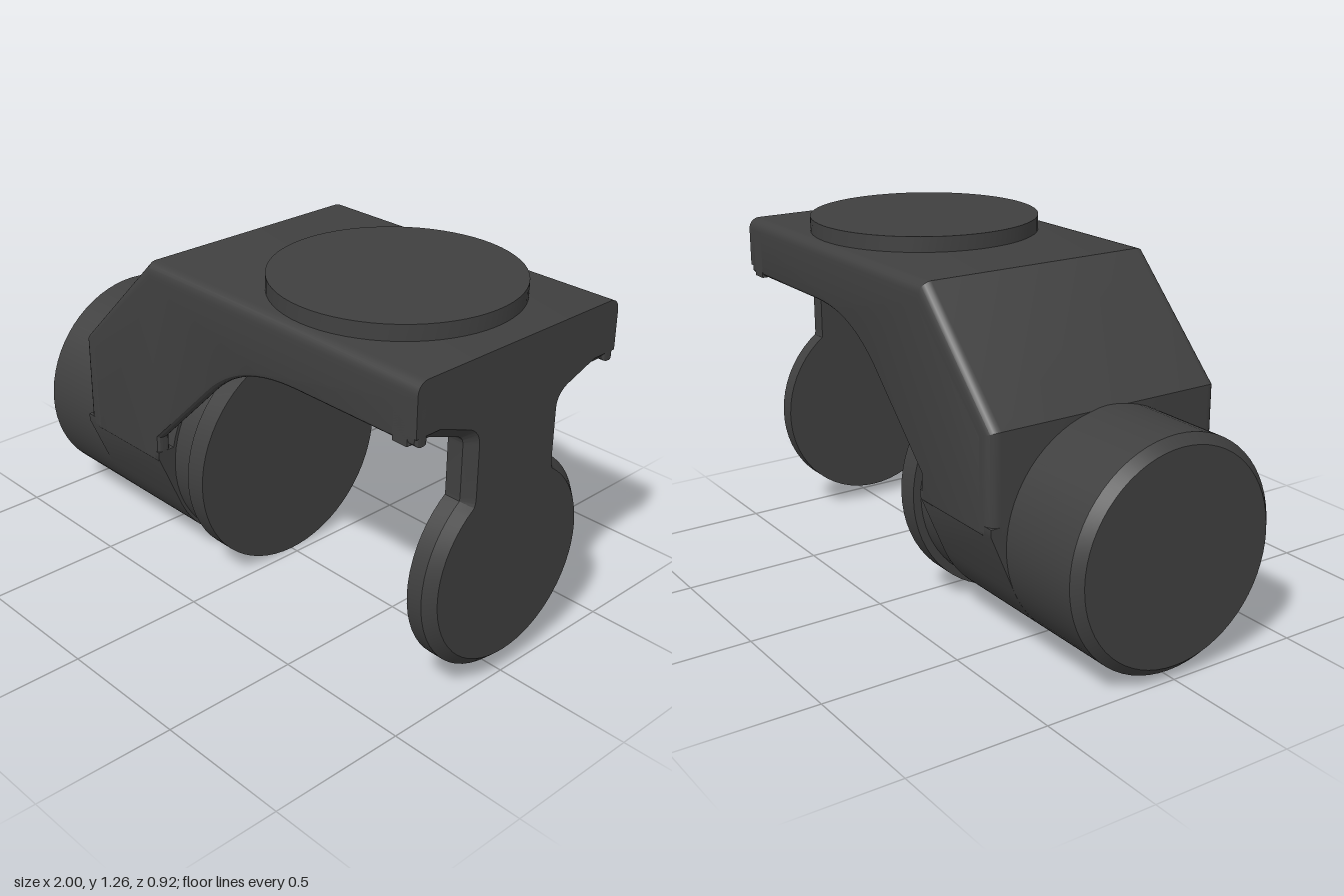
import * as THREE from 'three';
import { toCreasedNormals } from 'three/addons/utils/BufferGeometryUtils.js';

const AXIS_Y = 0.42; // height of the pivot axis
const HALF = 0.46; // half width of the bracket

// Back, slope and top of the bracket, moved inward by d
const inset = (d) => [
  [-0.64 + d, 0.475],
  [-0.64 + d, 0.815 - 0.414 * d],
  [-0.245 + 0.414 * d, 1.21 - d],
  [1, 1.21 - d],
];

// Roof: a rounded cross-section swept along the bent path
function roofGeometry() {
  const r = 0.04, steps = 5, section = [[-HALF, 0.07]];
  for (let i = 0; i <= steps; i++) {
    const a = (i / steps) * Math.PI / 2;
    section.push([-HALF + r - r * Math.cos(a), r - r * Math.sin(a)]);
  }
  for (const [z, d] of section.slice().reverse()) section.push([-z, d]);
  const n = section.length, pos = [];
  const at = (k, i) => {
    const [z, d] = section[i % n];
    return [...inset(d)[k], z];
  };
  for (let k = 0; k < 3; k++) {
    for (let i = 0; i < n; i++) {
      const a = at(k, i), b = at(k + 1, i), c = at(k + 1, i + 1), d = at(k, i + 1);
      pos.push(...a, ...d, ...c, ...a, ...c, ...b);
    }
  }
  for (let i = 1; i < n - 1; i++) {
    pos.push(...at(3, 0), ...at(3, i), ...at(3, i + 1));
    pos.push(...at(0, 0), ...at(0, i + 1), ...at(0, i));
  }
  const g = new THREE.BufferGeometry();
  g.setAttribute('position', new THREE.Float32BufferAttribute(pos, 3));
  return g;
}

// Side wall with an arched lower edge and softened rim
function wallGeometry() {
  const bevel = 0.02, p = inset(0.065);
  const s = new THREE.Shape();
  s.moveTo(...p[0]);
  s.lineTo(-0.24, 0.475);
  s.lineTo(-0.24, 0.565);
  s.lineTo(0.07, 0.87);
  s.bezierCurveTo(0.2, 0.985, 0.33, 1.02, 0.5, 1.02);
  s.lineTo(0.98, 1.02);
  s.lineTo(0.98, p[3][1]);
  s.lineTo(...p[2]);
  s.lineTo(...p[1]);
  const g = new THREE.ExtrudeGeometry(s, {
    depth: 0.015, bevelSize: bevel, bevelThickness: bevel, bevelSegments: 3, curveSegments: 20,
  });
  return g.translate(0, 0, -0.0075);
}

// Cradle that tapers from the side walls into the round housing
function cradleGeometry() {
  const s = new THREE.Shape();
  const t = 0.4;
  s.moveTo(HALF, 0.5);
  s.lineTo(HALF, 0.475);
  s.absarc(0, AXIS_Y, 0.402, -t, -Math.PI + t, true);
  s.lineTo(-HALF, 0.475);
  s.lineTo(-HALF, 0.5);
  const g = new THREE.ExtrudeGeometry(s, { depth: 0.42, bevelEnabled: false, curveSegments: 40 });
  return g.rotateY(Math.PI / 2).translate(-0.64, 0, 0);
}

// Hanging arm: shoulders, stem and round pad, chamfered on the outer face only
function armGeometry() {
  const c = 0.035, a = 0.974;
  const s = new THREE.Shape();
  s.moveTo(0.425, 1.1);
  s.lineTo(0.425, 1.03);
  s.lineTo(0.36, 1.03);
  s.lineTo(0.235, 0.985);
  s.quadraticCurveTo(0.18, 0.965, 0.18, 0.91);
  s.lineTo(0.18, 0.74);
  s.quadraticCurveTo(0.18, 0.71, 0.335 * Math.cos(a), AXIS_Y + 0.335 * Math.sin(a));
  s.absarc(0, AXIS_Y, 0.335, a, Math.PI - a, true);
  s.quadraticCurveTo(-0.18, 0.71, -0.18, 0.74);
  s.lineTo(-0.18, 0.91);
  s.quadraticCurveTo(-0.18, 0.965, -0.235, 0.985);
  s.lineTo(-0.36, 1.03);
  s.lineTo(-0.425, 1.03);
  s.lineTo(-0.425, 1.1);
  const g = new THREE.ExtrudeGeometry(s, {
    depth: 0.06, bevelSize: c, bevelThickness: c, bevelSegments: 1, curveSegments: 24,
  });
  const p = g.attributes.position;
  for (let i = 0; i < p.count; i++) p.setZ(i, Math.max(p.getZ(i), 0));
  return g.rotateY(Math.PI / 2).translate(0.905, 0, 0);
}

// Turned part along x from [radius, x] points
function turned(points) {
  const g = new THREE.LatheGeometry(points.map(([r, x]) => new THREE.Vector2(r, x)), 64);
  return g.rotateZ(-Math.PI / 2).translate(0, AXIS_Y, 0);
}

export function createModel() {
  const model = new THREE.Group();
  model.name = 'pivotBracket';
  const material = new THREE.MeshStandardMaterial({ color: 0x404040 });
  const add = (name, geometry, x = 0, y = 0, z = 0) => {
    const mesh = new THREE.Mesh(toCreasedNormals(geometry, 0.5), material);
    mesh.name = name;
    mesh.position.set(x, y, z);
    model.add(mesh);
  };

  // Bracket shell
  add('roof', roofGeometry());
  const wall = wallGeometry();
  add('leftSideWall', wall, 0, 0, HALF - 0.0275);
  add('rightSideWall', wall, 0, 0, -HALF + 0.0275);
  add('backWall', new THREE.BoxGeometry(0.095, 0.4, 0.84), -0.5525, 0.65, 0);
  add('endWall', new THREE.BoxGeometry(0.095, 0.14, HALF * 2), 0.9525, 1.1, 0);
  add('cradle', cradleGeometry());

  // Round housing with its collar and front flange
  add('housing', turned([[0, -1], [0.37, -1], [0.402, -0.968], [0.402, -0.22], [0, -0.22]]));
  add('collar', turned([[0, -0.25], [0.39, -0.25], [0.39, -0.1], [0, -0.1]]));
  add('flange', turned([[0, -0.11], [0.42, -0.11], [0.42, -0.03], [0, -0.03]]));

  // Hanging arm and top disc
  add('arm', armGeometry());
  add('topDisc', new THREE.CylinderGeometry(0.42, 0.42, 0.065, 64), 0.47, 1.2325, 0);

  return model;
}
